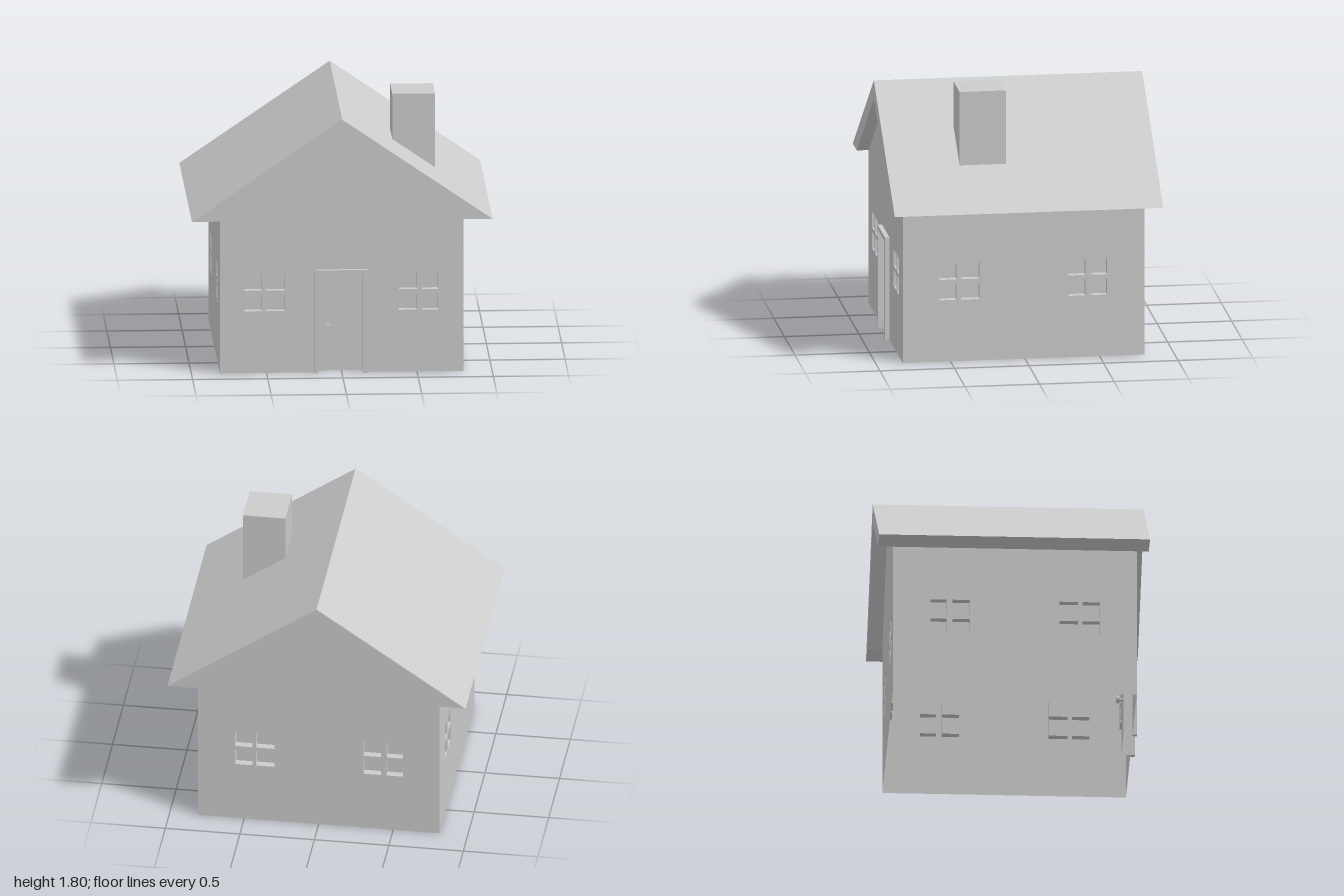
import * as THREE from 'three';

const mat = new THREE.MeshStandardMaterial({ color: 0xcccccc, side: THREE.DoubleSide, flatShading: true });
const smooth = new THREE.MeshStandardMaterial({ color: 0xcccccc });

const HALF_W = 0.81, FRONT = 0.82, BACK = -0.8, EAVE = 1.05, GABLE = 1.61, RIDGE = 1.735;
const PANE_ROWS = [[0.42, 0.53], [0.56, 0.67]];
const DOOR = { x0: -0.155, x1: 0.14, top: 0.67, depth: 0.06 };

function mesh(name, geometry, material = mat) {
  const m = new THREE.Mesh(geometry, material);
  m.name = name;
  return m;
}

const polygon = (points) => new THREE.Shape(points.map(([x, y]) => new THREE.Vector2(x, y)));

function extrude(points, depth, z = 0) {
  return new THREE.ExtrudeGeometry(polygon(points), { depth, bevelEnabled: false }).translate(0, 0, z);
}

// Box sunk behind z = 0, open at the front and, for the door, at the bottom
function pocket(x0, x1, y0, y1, depth, openBottom = false) {
  const g = new THREE.BoxGeometry(x1 - x0, y1 - y0, depth);
  g.translate((x0 + x1) / 2, (y0 + y1) / 2, -depth / 2);
  const index = Array.from(g.index.array);
  g.setIndex(index.filter((_, i) => !(i >= 24 && i < 30) && !(openBottom && i >= 18 && i < 24)));
  g.clearGroups();
  return g;
}

// Thin wall facing +z with sunken window panes; columns are [x0, x1] pairs
function wall(name, outline, columns) {
  const group = new THREE.Group();
  group.name = name;
  const shape = polygon(outline);
  for (const [x0, x1] of columns) {
    for (const [y0, y1] of PANE_ROWS) {
      shape.holes.push(polygon([[x0, y0], [x0, y1], [x1, y1], [x1, y0]]));
      group.add(mesh('windowPane', pocket(x0, x1, y0, y1, 0.05)));
    }
  }
  group.add(mesh(name + 'Surface', new THREE.ShapeGeometry(shape)));
  return group;
}

export function createModel() {
  const house = new THREE.Group();
  house.name = 'house';

  // Front wall with gable and door notch
  const gable = [[HALF_W, 0], [HALF_W, EAVE], [0, GABLE], [-HALF_W, EAVE], [-HALF_W, 0]];
  const notch = [[DOOR.x0, 0], [DOOR.x0, DOOR.top], [DOOR.x1, DOOR.top], [DOOR.x1, 0]];
  const front = wall('frontWall', [...gable, ...notch],
    [[-0.645, -0.53], [-0.505, -0.38], [0.38, 0.5], [0.535, 0.64]]);
  front.position.z = FRONT;
  house.add(front);

  // Back wall
  const back = wall('backWall', gable,
    [[-0.56, -0.445], [-0.42, -0.295], [0.3, 0.42], [0.455, 0.565]]);
  back.rotation.y = Math.PI;
  back.position.z = BACK;
  house.add(back);

  // Side walls, window columns given along z
  const sideColumns = [[-0.55, -0.445], [-0.405, -0.29], [0.305, 0.43], [0.46, 0.575]];
  for (const s of [1, -1]) {
    const toLocal = ([a, b]) => (s > 0 ? [-b, -a] : [a, b]);
    const [u0, u1] = toLocal([BACK, FRONT]);
    const side = wall(s > 0 ? 'leftWall' : 'rightWall',
      [[u0, 0], [u1, 0], [u1, EAVE], [u0, EAVE]], sideColumns.map(toLocal));
    side.rotation.y = s * Math.PI / 2;
    side.position.x = s * HALF_W;
    house.add(side);
  }

  // Flat ceiling under the roof
  const ceiling = mesh('ceiling', new THREE.PlaneGeometry(2 * HALF_W, FRONT - BACK).rotateX(Math.PI / 2));
  ceiling.position.set(0, EAVE, (FRONT + BACK) / 2);
  house.add(ceiling);

  // Roof: thick inverted V overhanging the gables
  house.add(mesh('roof', extrude([[1, EAVE], [0, RIDGE], [-1, EAVE],
    [-HALF_W, EAVE], [0, GABLE], [HALF_W, EAVE]], 1.8, -0.9)));

  // Chimney, its foot cut to the roof slope
  const roofY = (x) => RIDGE - (RIDGE - EAVE) * x;
  house.add(mesh('chimney', extrude([[0.355, roofY(0.355)], [0.64, roofY(0.64)],
    [0.64, 1.8], [0.355, 1.8]], 0.31, 0.105)));

  // Door, frame and knob
  const door = mesh('door', pocket(DOOR.x0, DOOR.x1, 0, DOOR.top, DOOR.depth, true));
  door.position.z = FRONT;
  house.add(door);
  house.add(mesh('doorFrame', extrude([[-0.18, 0], [DOOR.x0, 0], [DOOR.x0, DOOR.top],
    [DOOR.x1, DOOR.top], [DOOR.x1, 0], [0.17, 0], [0.17, 0.7], [-0.18, 0.7]], 0.03, FRONT)));

  const knob = new THREE.Group();
  knob.name = 'doorKnob';
  const stem = mesh('knobStem', new THREE.CylinderGeometry(0.012, 0.012, 0.07, 16).rotateX(Math.PI / 2), smooth);
  knob.add(stem);
  for (const s of [1, -1]) {
    const grip = mesh('knobGrip', new THREE.CylinderGeometry(0.025, 0.025, 0.02, 24).rotateX(Math.PI / 2), smooth);
    grip.position.z = s * 0.035;
    knob.add(grip);
  }
  knob.position.set(-0.095, 0.295, FRONT - DOOR.depth);
  house.add(knob);

  return house;
}
